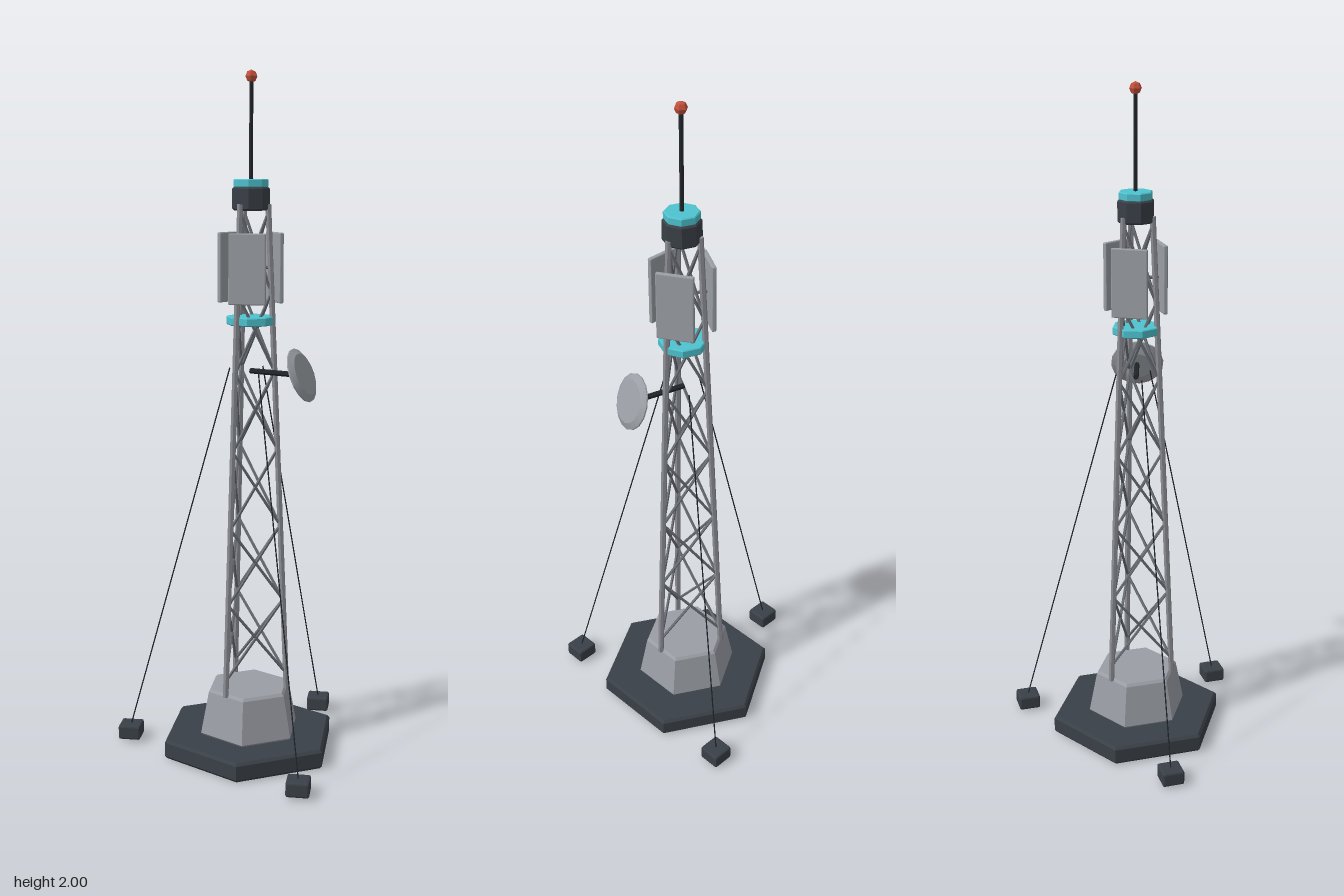
import * as THREE from 'three';
import { toCreasedNormals } from 'three/addons/utils/BufferGeometryUtils.js';
import { RoundedBoxGeometry } from 'three/addons/geometries/RoundedBoxGeometry.js';

const colour = (name, hex) => {
  const m = new THREE.MeshStandardMaterial({ color: hex });
  m.name = name;
  return m;
};

export function createModel() {
  const dark = colour('darkSteel', 0x3a4047);
  const black = colour('blackCable', 0x22262a);
  const concrete = colour('concreteGrey', 0x9a9da4);
  const steel = colour('legSteel', 0x8a8d93);
  const brace = colour('braceSteel', 0x6c7076);
  const panelGrey = colour('panelGrey', 0x9a9ea4);
  const cyan = colour('cyanTrim', 0x4fc3cf);
  const red = colour('beaconRed', 0xc4523c);

  const model = new THREE.Group();
  const tower = new THREE.Group();
  tower.name = 'tower';
  tower.position.x = 0.08;
  model.add(tower);

  const add = (parent, name, geometry, material) => {
    const mesh = new THREE.Mesh(toCreasedNormals(geometry, 0.2), material);
    mesh.name = name;
    parent.add(mesh);
    return mesh;
  };
  // Faceted solid of revolution from [radius, height] pairs, bottom to top
  const prism = (points, sides) =>
    new THREE.LatheGeometry(points.map(([r, y]) => new THREE.Vector2(r, y)), sides);
  // Prism with chamfered rims
  const bevelled = (r0, r1, y0, y1, b, sides) =>
    prism([[0, y0], [r0 - b, y0], [r0, y0 + b], [r1, y1 - b], [r1 - b, y1], [0, y1]], sides);
  // Straight rod between two points
  const rod = (parent, name, a, b, radius, material, sides = 6) => {
    const dir = b.clone().sub(a);
    const mesh = add(parent, name, new THREE.CylinderGeometry(radius, radius, dir.length(), sides), material);
    mesh.position.copy(a).addScaledVector(dir, 0.5);
    mesh.quaternion.setFromUnitVectors(new THREE.Vector3(0, 1, 0), dir.normalize());
    return mesh;
  };
  const polar = (angle, r, y) => new THREE.Vector3(Math.cos(angle) * r, y, Math.sin(angle) * r);
  const third = Math.PI * 2 / 3;

  // Hexagonal slab and plinth
  add(tower, 'baseSlab', bevelled(0.27, 0.27, 0, 0.058, 0.008, 6), dark);
  add(tower, 'plinth', bevelled(0.155, 0.13, 0.056, 0.197, 0.008, 6), concrete);

  // Three leaning legs with crossed braces on each face
  const legAt = (i, y) => polar(i * third, THREE.MathUtils.lerp(0.113, 0.05, (y - 0.19) / 1.43), y);
  const levels = 6, first = 0.24, step = 0.228;
  for (let i = 0; i < 3; i++) {
    rod(tower, 'leg', legAt(i, 0.19), legAt(i, 1.63), 0.009, steel);
    for (let k = 0; k < levels; k++) {
      const y0 = first + k * step, y1 = y0 + step;
      rod(tower, 'brace', legAt(i, y0), legAt(i + 1, y1), 0.0045, brace, 5);
      rod(tower, 'brace', legAt(i + 1, y0), legAt(i, y1), 0.0045, brace, 5);
    }
  }

  // Collar, head drum, cap, mast and beacon
  add(tower, 'collar', bevelled(0.07, 0.07, 1.287, 1.312, 0.003, 8), cyan);
  add(tower, 'headDrum', bevelled(0.054, 0.054, 1.612, 1.678, 0.005, 8), dark);
  add(tower, 'headCap', bevelled(0.05, 0.05, 1.676, 1.7, 0.003, 8), cyan);
  rod(tower, 'mast', new THREE.Vector3(0, 1.69, 0), new THREE.Vector3(0, 1.975, 0), 0.006, black);
  const beacon = add(tower, 'beacon', new THREE.SphereGeometry(0.018, 6, 4), red);
  beacon.position.y = 1.982;
  beacon.rotation.y = Math.PI / 6;

  // Three sector antenna panels on short brackets
  for (let i = 0; i < 3; i++) {
    const angle = Math.PI / 2 + i * third;
    const panel = add(tower, 'antennaPanel', new RoundedBoxGeometry(0.106, 0.2, 0.013, 1, 0.003), panelGrey);
    panel.position.copy(polar(angle, 0.074, 1.45));
    panel.rotation.y = Math.PI / 2 - angle;
    rod(tower, 'panelBracket', polar(angle, 0.02, 1.45), polar(angle, 0.07, 1.45), 0.005, brace);
  }

  // Dish tilted upward on a side arm
  const dishCentre = new THREE.Vector3(0.154, 1.15, 0.048);
  rod(tower, 'dishArm', new THREE.Vector3(0, 1.153, 0), new THREE.Vector3(0.14, 1.15, 0.043), 0.008, black);
  const dish = add(tower, 'dish',
    prism([[0, -0.016], [0.045, -0.016], [0.08, -0.002], [0.08, 0.002], [0.062, 0.012], [0, 0.012]], 16), panelGrey);
  dish.position.copy(dishCentre);
  dish.quaternion.setFromUnitVectors(new THREE.Vector3(0, 1, 0), new THREE.Vector3(0.89, 0.37, 0.27).normalize());

  // Guy wires down to ground anchors
  for (let i = 0; i < 3; i++) {
    const angle = Math.PI + i * third;
    const foot = polar(angle, 0.366, 0.028);
    const anchor = add(tower, 'guyAnchor', new RoundedBoxGeometry(0.067, 0.044, 0.067, 1, 0.006), dark);
    anchor.position.copy(foot);
    rod(tower, 'guyWire', foot.clone().setY(0.045), polar(angle, 0.06, 1.16), 0.002, black, 5);
  }

  return model;
}
